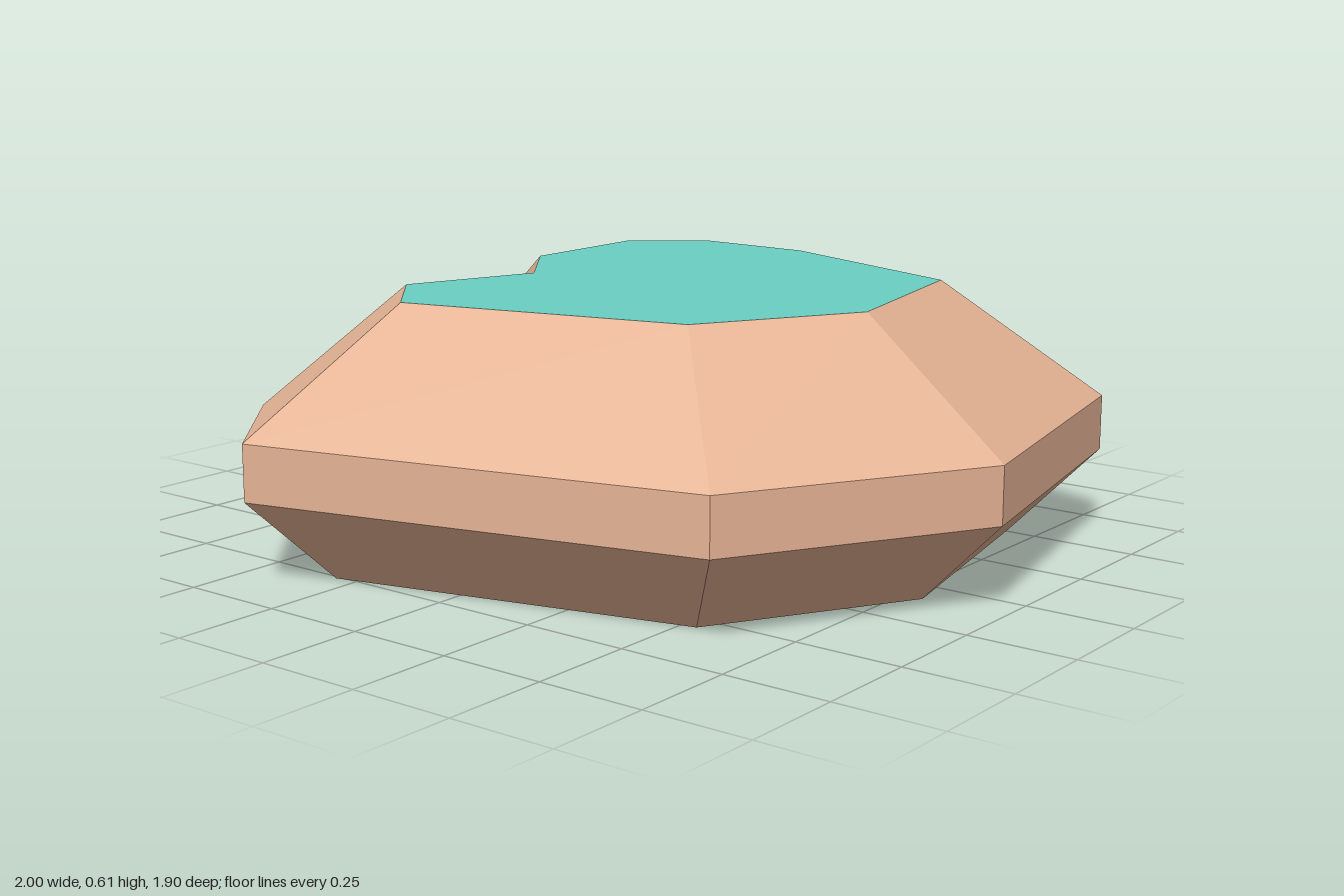
import * as THREE from 'three';

// plan outline of the widest band as [x, z]; the first corner is the chipped one
const OUTLINE = [
  [-1, -0.54], [-0.46, -0.955], [0, -0.95], [0.84, -0.64], [1, 0.115],
  [0.67, 0.685], [-0.38, 0.95], [-0.645, 0.65], [-0.46, 0.155],
];
const TOP_Y = 0.605, TOP_SCALE = 0.633;

const ring = (scale, y) => OUTLINE.map(([x, z]) => new THREE.Vector3(x * scale, y, z * scale));

// flat-shaded mesh from convex polygons, corners counter-clockwise from outside
function facets(polygons, material, name) {
  const points = [];
  for (const p of polygons) {
    for (let i = 1; i < p.length - 1; i++) points.push(p[0], p[i], p[i + 1]);
  }
  const geometry = new THREE.BufferGeometry().setFromPoints(points);
  geometry.computeVertexNormals();
  const mesh = new THREE.Mesh(geometry, material);
  mesh.name = name;
  return mesh;
}

// horizontal cap filling a ring; dir is 1 facing up, -1 facing down
function cap(points, dir, material, name) {
  const shape = new THREE.Shape(points.map((p) => new THREE.Vector2(p.x, -dir * p.z)));
  const geometry = new THREE.ShapeGeometry(shape).rotateX(-dir * Math.PI / 2);
  const mesh = new THREE.Mesh(geometry, material);
  mesh.position.y = points[0].y;
  mesh.name = name;
  return mesh;
}

// quads between two rings
const band = (low, high) => low.map((a, i) => {
  const j = (i + 1) % low.length;
  return [low[j], a, high[i], high[j]];
});

export function createModel() {
  const dirt = new THREE.MeshStandardMaterial({ color: 0xe6b495, flatShading: true });
  const grass = new THREE.MeshStandardMaterial({ color: 0x6ad0c2, flatShading: true });

  const base = ring(0.8, 0);
  const low = ring(1, 0.2);
  const high = ring(1, 0.33);
  const top = ring(TOP_SCALE, TOP_Y);
  const last = top.length - 1;

  // chipped corner: cut halfway along its sloping edge and halfway along both rim edges
  const tip = high[0].clone().lerp(top[0], 0.5);
  const cutBack = top[0].clone().lerp(top[1], 0.5);
  const cutFront = top[0].clone().lerp(top[last], 0.5);

  const slope = band(high, top);
  slope[0] = [high[1], high[0], tip, cutBack, top[1]];
  slope[last] = [high[0], high[last], top[last], cutFront, tip];

  const model = new THREE.Group();
  model.name = 'rockPlatform';
  model.add(
    cap(base, -1, dirt, 'underside'),
    facets(band(base, low), dirt, 'lowerSlope'),
    facets(band(low, high), dirt, 'middleBand'),
    facets(slope, dirt, 'upperSlope'),
    facets([[cutBack, tip, cutFront]], dirt, 'chippedCorner'),
    cap([cutBack, ...top.slice(1), cutFront], 1, grass, 'grassTop'),
  );
  return model;
}
